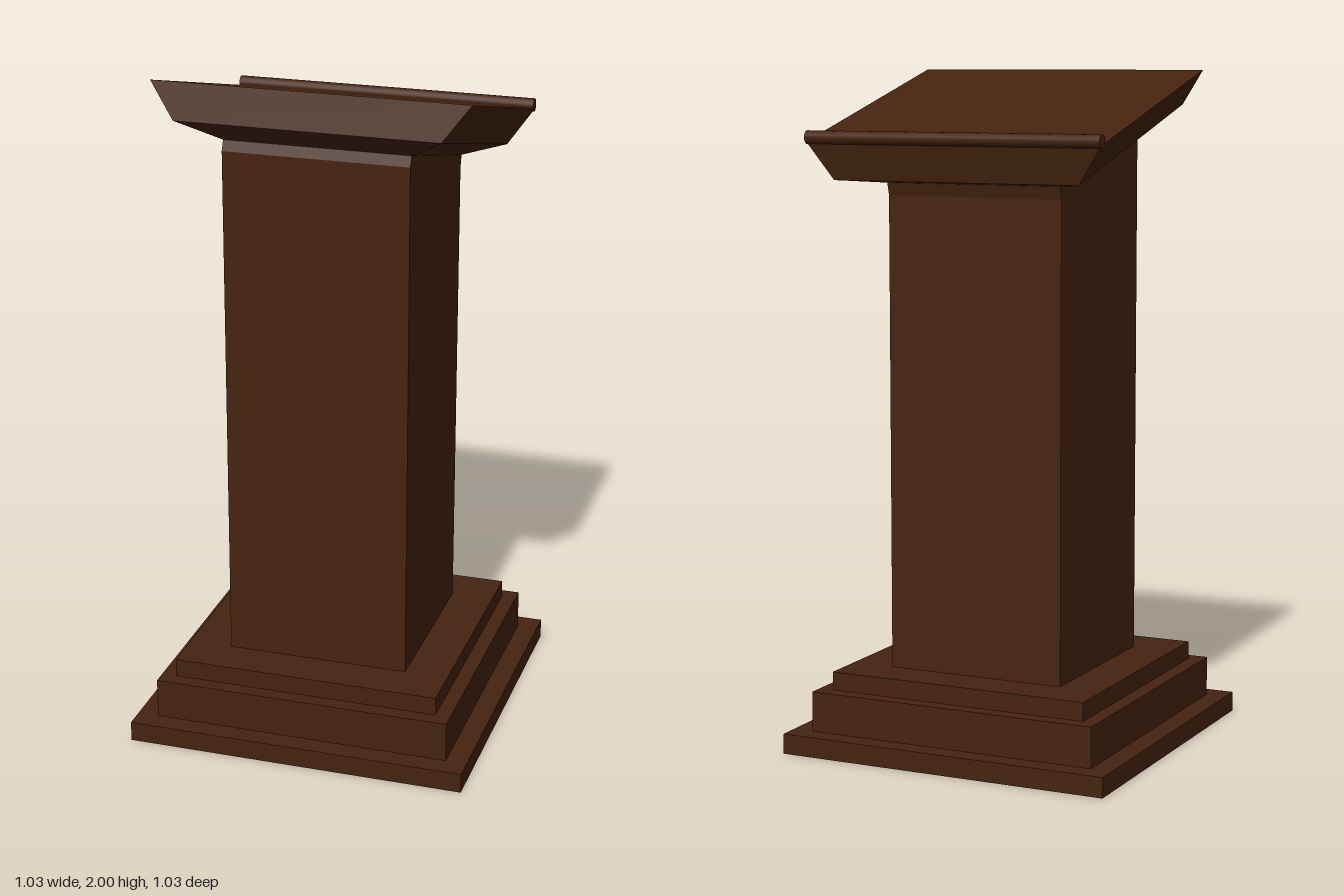
import * as THREE from 'three';

// Four corners, counter-clockwise from above; front and back may differ in z and y
const ring = (halfX, zFront, yFront, zBack, yBack) => [
  [halfX, yFront, zFront], [halfX, yBack, zBack],
  [-halfX, yBack, zBack], [-halfX, yFront, zFront],
];
const square = (half, y) => ring(half, half, y, -half, y);

// Flat-faced skin through rings listed from bottom to top
function loft(rings, capped = false) {
  const points = [];
  const quad = (a, b, c, d) => points.push(...a, ...b, ...c, ...a, ...c, ...d);
  for (let i = 0; i < rings.length - 1; i++) {
    const low = rings[i], high = rings[i + 1];
    for (let k = 0; k < 4; k++) {
      const n = (k + 1) % 4;
      quad(low[k], low[n], high[n], high[k]);
    }
  }
  if (capped) {
    quad(...rings[rings.length - 1]);
    quad(...[...rings[0]].reverse());
  }
  const geometry = new THREE.BufferGeometry();
  geometry.setAttribute('position', new THREE.Float32BufferAttribute(points, 3));
  geometry.computeVertexNormals();
  return geometry;
}

export function createModel() {
  const group = new THREE.Group();
  group.name = 'lectern';
  const wood = new THREE.MeshStandardMaterial({ color: 0x45230f, side: THREE.DoubleSide });
  wood.name = 'dark wood';
  const add = (name, geometry) => {
    const mesh = new THREE.Mesh(geometry, wood);
    mesh.name = name;
    group.add(mesh);
    return mesh;
  };

  // Stepped plinth, a hollow shell open underneath and into the column
  add('steppedBase', loft([
    square(0.513, 0), square(0.513, 0.06),
    square(0.45, 0.06), square(0.45, 0.18),
    square(0.405, 0.18), square(0.405, 0.235),
    square(0.275, 0.235),
  ]));

  // Hollow column, its top cut and bent to the slope of the desk
  const columnTop = ring(0.275, 0.262, 1.825, -0.285, 1.677);
  add('column', loft([
    square(0.275, 0.235),
    ring(0.275, 0.275, 1.795, -0.275, 1.64),
    columnTop,
  ]));

  // Sloping desk: flared underside, tapered sides, flat top
  add('desk', loft([
    columnTop,
    ring(0.385, 0.363, 1.897, -0.402, 1.687),
    ring(0.462, 0.331, 2, -0.427, 1.797),
  ], true));

  // Rounded ledge along the low edge that stops books sliding off
  const ledge = add('bookLedge', new THREE.CylinderGeometry(0.02, 0.02, 0.924, 16));
  ledge.rotation.z = Math.PI / 2;
  ledge.position.set(0, 1.809, -0.419);

  return group;
}
